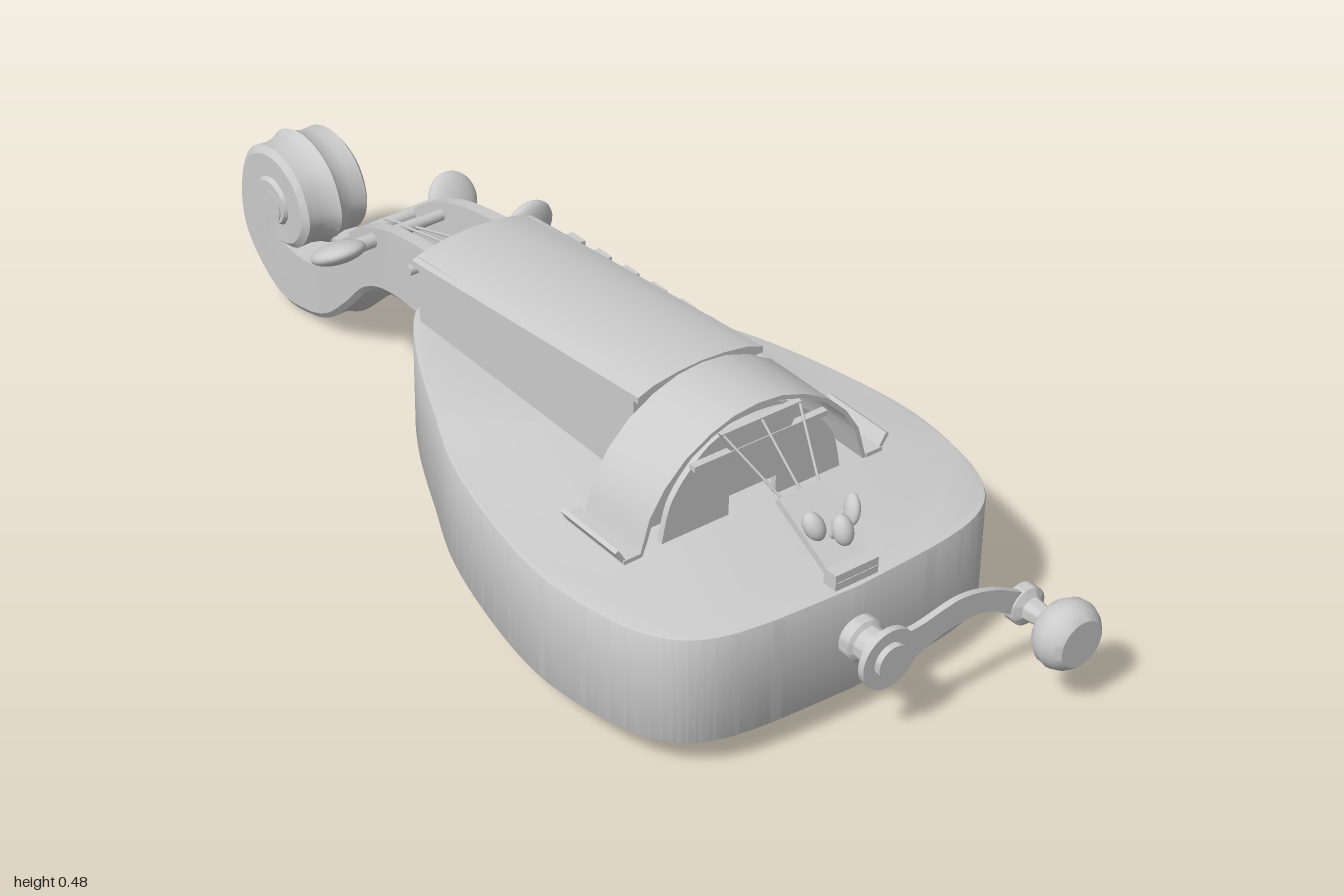
import * as THREE from 'three';
import { toCreasedNormals } from 'three/addons/utils/BufferGeometryUtils.js';

const mat = new THREE.MeshStandardMaterial({ color: 0xcccccc, side: THREE.DoubleSide });
const V2 = (p) => new THREE.Vector2(p[0], p[1]);

export function createModel() {
  const root = new THREE.Group();

  const add = (name, geo, x = 0, y = 0, z = 0) => {
    const m = new THREE.Mesh(geo, mat);
    m.name = name;
    m.position.set(x, y, z);
    root.add(m);
    return m;
  };
  const box = (name, w, h, d, x, y, z) => add(name, new THREE.BoxGeometry(w, h, d), x, y, z);
  // shape in x-y, pushed along z
  const plate = (name, shape, depth, z, bevel = 0) => add(name, toCreasedNormals(new THREE.ExtrudeGeometry(shape, {
    depth, curveSegments: 20, bevelEnabled: bevel > 0, bevelSize: bevel, bevelThickness: bevel, bevelOffset: -bevel, bevelSegments: 2,
  }), 0.6), 0, 0, z);
  // straight rod between two points
  const rod = (name, a, b, r0, r1 = r0, seg = 12) => {
    const A = new THREE.Vector3(...a), B = new THREE.Vector3(...b);
    const m = add(name, new THREE.CylinderGeometry(r1, r0, A.distanceTo(B), seg));
    m.position.copy(A).add(B).multiplyScalar(0.5);
    m.quaternion.setFromUnitVectors(new THREE.Vector3(0, 1, 0), B.sub(A).normalize());
    return m;
  };
  const mirrored = (half) => [...half, ...half.slice(0, -1).reverse().map(([x, y]) => [-x, y])];

  // Pear-shaped sound body
  const half = [[0, 0.79], [0.2, 0.777], [0.3, 0.748], [0.355, 0.69], [0.385, 0.6], [0.4, 0.46], [0.38, 0.3],
    [0.335, 0.12], [0.27, -0.03], [0.2, -0.18], [0.13, -0.295], [0.08, -0.335], [0, -0.34]];
  const outline = mirrored(half);
  const bodyShape = new THREE.Shape().moveTo(0, 0.79).splineThru(outline.slice(1).map(V2));
  const bodyGeo = new THREE.ExtrudeGeometry(bodyShape, {
    depth: 0.2, curveSegments: 72, bevelSize: 0.006, bevelThickness: 0.006, bevelOffset: -0.006, bevelSegments: 2,
  });
  bodyGeo.rotateX(Math.PI / 2);
  add('body', toCreasedNormals(bodyGeo, 0.6), 0, 0.266, 0);

  // Key box with sloping, slightly arched lid
  const sloped = (geo, yBack, yFront) => {
    const p = geo.attributes.position;
    for (let i = 0; i < p.count; i++) {
      const t = (p.getZ(i) + 0.29) / 0.66;
      if (p.getY(i) > 0.3) p.setY(i, p.getY(i) + yBack + (yFront - yBack) * t);
    }
    geo.computeVertexNormals();
    return geo;
  };
  const chest = new THREE.BoxGeometry(0.244, 0.19, 0.63);
  chest.translate(0, 0.36, 0.03);
  add('keyBox', sloped(chest, -0.05, 0.005));
  const lidShape = new THREE.Shape(mirrored([[0.132, 0.448], [0.132, 0.46], [0.1, 0.472], [0.05, 0.48], [0, 0.483]]).map(V2));
  const lidGeo = new THREE.ExtrudeGeometry(lidShape, { depth: 0.66, bevelEnabled: false });
  lidGeo.translate(0, 0, -0.29);
  add('keyBoxLid', toCreasedNormals(sloped(lidGeo, -0.06, 0), 0.4));

  // Two rows of keys along the left side
  for (let i = 0; i < 7; i++) {
    const z = 0.283 - i * 0.08, y = 0.353 - i * 0.005;
    box('lowerKeyShaft', 0.06, 0.014, 0.026, 0.145, y, z);
    box('lowerKey', 0.042, 0.024, 0.052, 0.187, y, z);
    box('upperKey', 0.045, 0.036, 0.038, 0.145, y + 0.048, z + 0.002);
  }

  // Wheel and the arched cover over it
  const wheel = add('wheel', new THREE.CylinderGeometry(0.19, 0.19, 0.05, 48), 0, 0.25, 0.44);
  wheel.rotation.x = Math.PI / 2;
  const arc = mirrored([[0.285, 0.305], [0.27, 0.28], [0.24, 0.278], [0.232, 0.305], [0.222, 0.34], [0.192, 0.387],
    [0.15, 0.428], [0.1, 0.457], [0.05, 0.474], [0, 0.479]]).map(V2);
  const offset = arc.map((p, i) => {
    const t = arc[Math.min(i + 1, arc.length - 1)].clone().sub(arc[Math.max(i - 1, 0)]).normalize();
    return new THREE.Vector2(p.x - t.y * 0.008, p.y + t.x * 0.008);
  });
  plate('wheelCover', new THREE.Shape([...arc, ...offset.reverse()]), 0.15, 0.37);
  for (const s of [-1, 1]) box('coverFoot', 0.035, 0.008, 0.165, s * 0.258, 0.277, 0.44);

  // Bridge: arched plate with a notch at the base
  const bridge = new THREE.Shape().moveTo(0.19, 0.272);
  bridge.splineThru([[0.172, 0.345], [0.13, 0.4], [0.08, 0.436], [0, 0.447], [-0.08, 0.436], [-0.13, 0.4], [-0.172, 0.345], [-0.19, 0.272]].map(V2));
  for (const [x, y] of [[-0.05, 0.272], [-0.05, 0.31], [0.05, 0.31], [0.05, 0.272]]) bridge.lineTo(x, y);
  plate('bridge', bridge, 0.012, 0.5);
  box('bridgeCap', 0.28, 0.01, 0.014, 0, 0.41, 0.525);
  plate('stringBridge', new THREE.Shape(mirrored([[0.05, 0.39], [0.085, 0.455], [0, 0.455]]).map(V2)), 0.012, 0.518);

  // Tailpiece, strings and fine-tuning pegs
  const tail = new THREE.BoxGeometry(0.1, 0.014, 0.17);
  const tp = tail.attributes.position;
  for (let i = 0; i < tp.count; i++) if (tp.getZ(i) > 0) tp.setX(i, tp.getX(i) * 0.85);
  add('tailpiece', tail, 0, 0.325, 0.705).rotation.x = 0.55;
  box('tailpieceBlock', 0.09, 0.035, 0.03, 0, 0.285, 0.765);
  for (const s of [-1, 0, 1]) {
    rod('string', [s * 0.038, 0.367, 0.635], [s * 0.08, 0.452, 0.53], 0.0025, 0.0025, 6);
    const y = 0.362 - (s === 0 ? 0.01 : 0), z = 0.71 + (s === 0 ? 0.025 : 0);
    rod('finePegShaft', [s * 0.02, 0.315, z - 0.03], [s * 0.04, y, z], 0.007);
    const head = add('finePegHead', new THREE.SphereGeometry(0.026, 16, 10), s * 0.04, y, z + 0.005);
    head.scale.set(s === 1 ? 0.45 : 0.7, 1.05, 0.7);
    head.rotation.set(-0.4, 0, -s * 0.3);
  }

  // Crank: axle, curved arm and turned knob
  const axisZ = (pts) => { const g = new THREE.LatheGeometry(pts.map(V2), 32); g.rotateX(Math.PI / 2); return toCreasedNormals(g, 0.6); };
  add('crankAxle', axisZ([[0, 0.78], [0.04, 0.78], [0.04, 0.81], [0.032, 0.815], [0.032, 0.855], [0.057, 0.857], [0.057, 0.87], [0.033, 0.87], [0.033, 0.882], [0, 0.882]]), 0, 0.17, 0);
  const arm = new THREE.Shape().moveTo(0.035, 0.207);
  arm.splineThru([[0.07, 0.21], [0.15, 0.224], [0.22, 0.21], [0.28, 0.18], [0.33, 0.15]].map(V2));
  arm.lineTo(0.3, 0.11);
  arm.splineThru([[0.25, 0.15], [0.2, 0.173], [0.13, 0.172], [0.06, 0.15], [0.035, 0.13]].map(V2));
  plate('crankArm', arm, 0.012, 0.857);
  add('crankKnob', axisZ([[0, 0.85], [0.036, 0.85], [0.036, 0.872], [0.022, 0.88], [0.018, 0.91], [0.026, 0.925], [0.05, 0.933],
    [0.062, 0.95], [0.064, 0.968], [0.058, 0.985], [0.048, 0.997], [0.044, 1], [0, 1]]), 0.302, 0.142, 0);

  // Pegbox and scroll: one loft, open trough first, then a solid spiral
  const curve = (pts) => new THREE.CatmullRomCurve3(pts.map(([z, y]) => new THREE.Vector3(0, y, z)));
  const cy = 0.225, cz = -0.855;
  const radii = [0.22, 0.145, 0.125, 0.12, 0.09, 0.075, 0.064, 0.054, 0.042, 0.034, 0.028, 0.024, 0.02];
  const R = (q) => { const i = Math.min(Math.floor(q), 11); return THREE.MathUtils.lerp(radii[i], radii[i + 1], Math.min(q - i, 1)); };
  const polar = (q, r) => [cz - Math.sin(q * Math.PI / 2) * r, cy - Math.cos(q * Math.PI / 2) * r];
  const outer = [[-0.27, 0.22], [-0.45, 0.215], [-0.53, 0.18], [-0.6, 0.112], [-0.68, 0.044], [-0.76, 0.011]];
  const inner = [[-0.27, 0.4], [-0.44, 0.372], [-0.53, 0.335], [-0.6, 0.28], [-0.67, 0.2], [-0.74, 0.15]];
  for (let q = 0; q <= 8; q += 0.5) {
    const r = q === 0.5 ? 0.178 : R(q);
    outer.push(polar(q, r));
    inner.push(polar(q, R(q + 4) * 0.75));
  }
  const O = curve(outer), I = curve(inner), N = 176, last = outer.length - 1;
  const pos = [], idx = [];
  let ring = 0;
  for (let i = 0; i <= N; i++) {
    const s = (i / N) * last;
    const a = O.getPoint(i / N), b = I.getPoint(i / N), h = a.distanceTo(b), k = Math.min(1, h / 0.08);
    const w = s < 5 ? 0.095 - 0.004 * s : 0.075 + 0.008 * THREE.MathUtils.smoothstep(s, 13, 15);
    const f = THREE.MathUtils.lerp(0.4, 1, THREE.MathUtils.smoothstep(s, 4, 5.2));
    const side = [[0.15, 0.008 * k / h], [0.5, 0.014 * k / h], [0.87, 0.012 * k / h], [1, 0.026 * k / h], [1, 1], [0.72, 1], [0.7, f]];
    const sec = [[0, 0], ...side, ...side.slice().reverse().map(([x, v]) => [-x, v])];
    ring = sec.length;
    for (const [x, v] of sec) {
      const p = a.clone().lerp(b, v);
      pos.push(x * w + 0.005, p.y, p.z);
    }
    if (i < N) for (let j = 0; j < ring; j++) {
      const m = i * ring, n = m + ring, j2 = (j + 1) % ring;
      idx.push(m + j, n + j, n + j2, m + j, n + j2, m + j2);
    }
  }
  const neck = new THREE.BufferGeometry();
  neck.setAttribute('position', new THREE.Float32BufferAttribute(pos, 3));
  neck.setIndex(idx);
  add('pegboxAndScroll', toCreasedNormals(neck, 0.6));
  const eye = add('scrollEye', new THREE.CylinderGeometry(0.032, 0.032, 0.17, 24), 0.005, cy, cz);
  eye.rotation.z = Math.PI / 2;

  // Tuning pegs across the pegbox: side, y, z, head tilt
  for (const [s, y, z, tilt] of [[1, 0.345, -0.34, 0.15], [-1, 0.328, -0.49, 1.1], [1, 0.285, -0.585, -0.5]]) {
    rod('tuningPegShaft', [-s * 0.108, y, z], [s * 0.13, y, z], 0.01, 0.015);
    const head = add('tuningPegHead', new THREE.SphereGeometry(0.054, 24, 16), s * 0.16, y, z);
    head.scale.set(0.96, 1, 0.38);
    head.rotation.x = tilt;
  }
  // Strings through the pegbox and the nut
  for (const [x, z, y] of [[-0.03, -0.49, 0.34], [0.005, -0.585, 0.297], [0.035, -0.35, 0.357]])
    rod('pegboxString', [x, 0.39, -0.28], [x * 0.8, y, z], 0.003, 0.003, 6);
  box('nut', 0.15, 0.02, 0.02, 0.005, 0.385, -0.3);

  return root;
}
